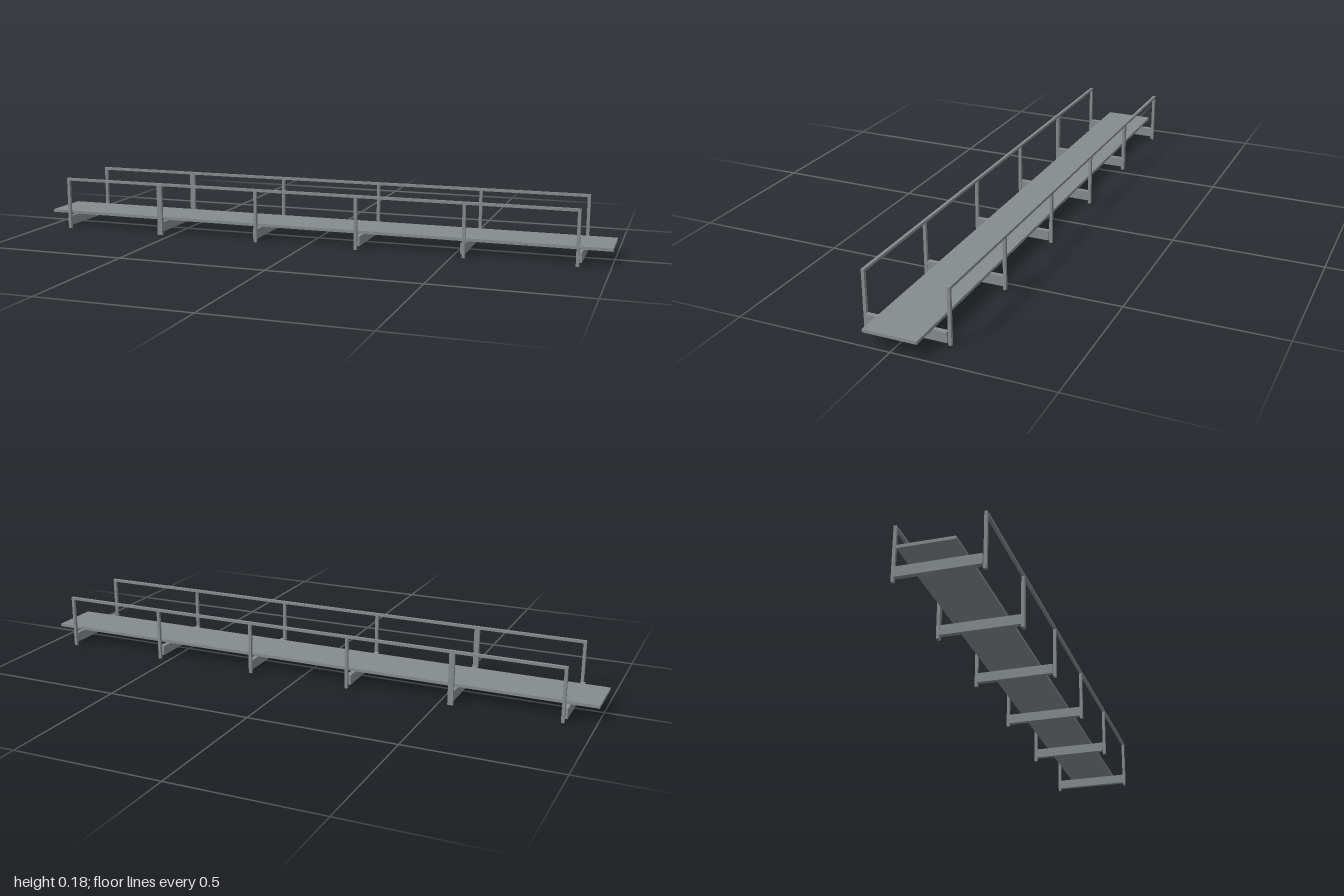
import * as THREE from 'three';

export function createModel() {
  const model = new THREE.Group();
  model.name = 'walkway';
  const steel = new THREE.MeshStandardMaterial({ color: 0x868c8e });
  steel.name = 'grey steel';

  // Box given by its lower and upper corners
  const bar = (name, [x0, y0, z0], [x1, y1, z1]) => {
    const mesh = new THREE.Mesh(new THREE.BoxGeometry(x1 - x0, y1 - y0, z1 - z0), steel);
    mesh.name = name;
    mesh.position.set((x0 + x1) / 2, (y0 + y1) / 2, (z0 + z1) / 2);
    model.add(mesh);
  };

  // Deck plank
  bar('deck', [-1, 0.044, -0.086], [1, 0.054, 0.086]);

  // Frames: post centre, post width, and the side of the post its crossbeam sits on
  const frames = [
    [-0.9, 0.01, -1], [-0.54, 0.018, 0], [-0.18, 0.01, -1],
    [0.176, 0.01, 1], [0.538, 0.01, -1], [0.898, 0.01, 1],
  ];
  for (const [x, width, side] of frames) {
    const beamX = x + side * 0.004;
    bar('crossbeam', [beamX - 0.008, 0.011, -0.13], [beamX + 0.008, 0.044, 0.13]);
    for (const z of [-0.135, 0.135]) {
      bar('post', [x - width / 2, 0, z - 0.005], [x + width / 2, 0.174, z + 0.005]);
    }
  }

  // Handrails along both sides
  for (const z of [-0.135, 0.135]) {
    bar('handrail', [-0.905, 0.174, z - 0.005], [0.903, 0.183, z + 0.005]);
  }
  return model;
}
